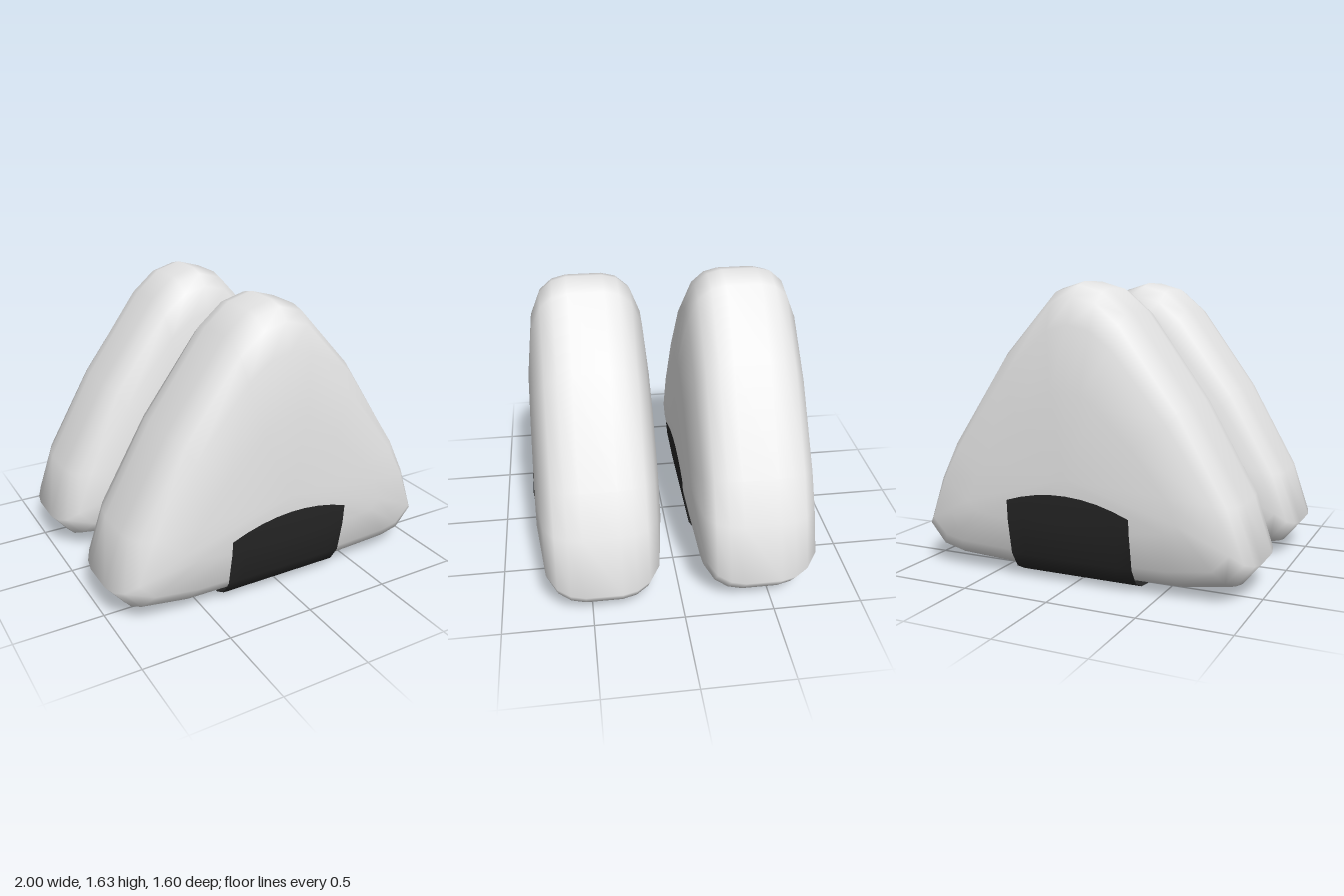
import * as THREE from 'three';
import { mergeVertices } from 'three/addons/utils/BufferGeometryUtils.js';

const rice = new THREE.MeshStandardMaterial({ color: 0xe6e6e6 });
rice.name = 'rice white';
const seaweed = new THREE.MeshStandardMaterial({ color: 0x262626, side: THREE.DoubleSide });
seaweed.name = 'seaweed black';

// Rounded triangle outline (x, y), counter-clockwise seen from the front
const OUTLINE = [
  [0, 1.63], [-0.14, 1.59], [-0.28, 1.47], [-0.62, 1.0], [-0.9, 0.5], [-1, 0.2],
  [-0.9, 0.08], [-0.62, 0.035], [-0.3, 0.03], [0, 0.03], [0.35, 0.03], [0.78, 0.05],
  [0.9, 0.08], [1, 0.2], [0.9, 0.5], [0.79, 0.73], [0.45, 1.25], [0.14, 1.59],
];
// Half of the pillow section: depth, x scale, y scale
const HALF = [
  [0.355, 0, 0], [0.346, 0.62, 0.45], [0.307, 0.89, 0.78],
  [0.25, 0.95, 0.92], [0.18, 0.985, 0.98], [0.1, 1, 1],
];
const MID_Y = 0.6;

// Joins rows of equally many points into a smooth skin
function skin(rows, closed) {
  const n = rows[0].length, index = [];
  for (let r = 0; r < rows.length - 1; r++) {
    for (let i = 0; i < (closed ? n : n - 1); i++) {
      const a = r * n + i, b = r * n + (i + 1) % n;
      index.push(a, a + n, b, b, a + n, b + n);
    }
  }
  let geo = new THREE.BufferGeometry();
  geo.setAttribute('position', new THREE.Float32BufferAttribute(rows.flat(2), 3));
  geo.setIndex(index);
  geo = mergeVertices(geo, 1e-4);
  // drop the collapsed triangles at the two poles
  const ix = Array.from(geo.index.array), kept = [];
  for (let i = 0; i < ix.length; i += 3) {
    const [a, b, c] = ix.slice(i, i + 3);
    if (a !== b && b !== c && c !== a) kept.push(a, b, c);
  }
  geo.setIndex(kept);
  geo.computeVertexNormals();
  return geo;
}

// Puffy triangular body, rings running from front to back
function bodyGeometry() {
  const back = HALF.map(([z, sx, sy]) => [-z, sx, sy]).reverse();
  const rows = [...HALF, ...back].map(([z, sx, sy]) =>
    OUTLINE.map(([x, y]) => [x * sx, MID_Y + (y - MID_Y) * sy, z]));
  return skin(rows, true);
}

// Seaweed strip folded under the body, with a gently arched top edge
function wrapGeometry() {
  const rows = [];
  const steps = 8;
  for (let i = 0; i <= steps; i++) {
    const t = i / steps, x = -0.37 + 0.725 * t;
    const edge = 0.425 + 0.03 * t + 0.28 * t * (1 - t);
    const sag = 0.008 * (1 - t);
    const front = [[0.362, edge], [0.354, 0.34], [0.318, 0.145],
      [0.262, 0.055], [0.19, 0.018], [0.11, sag]];
    const back = front.map(([z, y]) => [-z, y]).reverse();
    rows.push([...front, ...back].map(([z, y]) => [x, y, z]));
  }
  return skin(rows, false);
}

export function createModel() {
  const model = new THREE.Group();
  model.name = 'riceBalls';
  const body = bodyGeometry(), wrap = wrapGeometry();
  for (const [name, z] of [['frontRiceBall', 0.436], ['backRiceBall', -0.436]]) {
    const ball = new THREE.Group();
    ball.name = name;
    const riceMesh = new THREE.Mesh(body, rice);
    riceMesh.name = 'riceBody';
    const wrapMesh = new THREE.Mesh(wrap, seaweed);
    wrapMesh.name = 'seaweedWrap';
    ball.add(riceMesh, wrapMesh);
    ball.position.z = z;
    model.add(ball);
  }
  return model;
}
